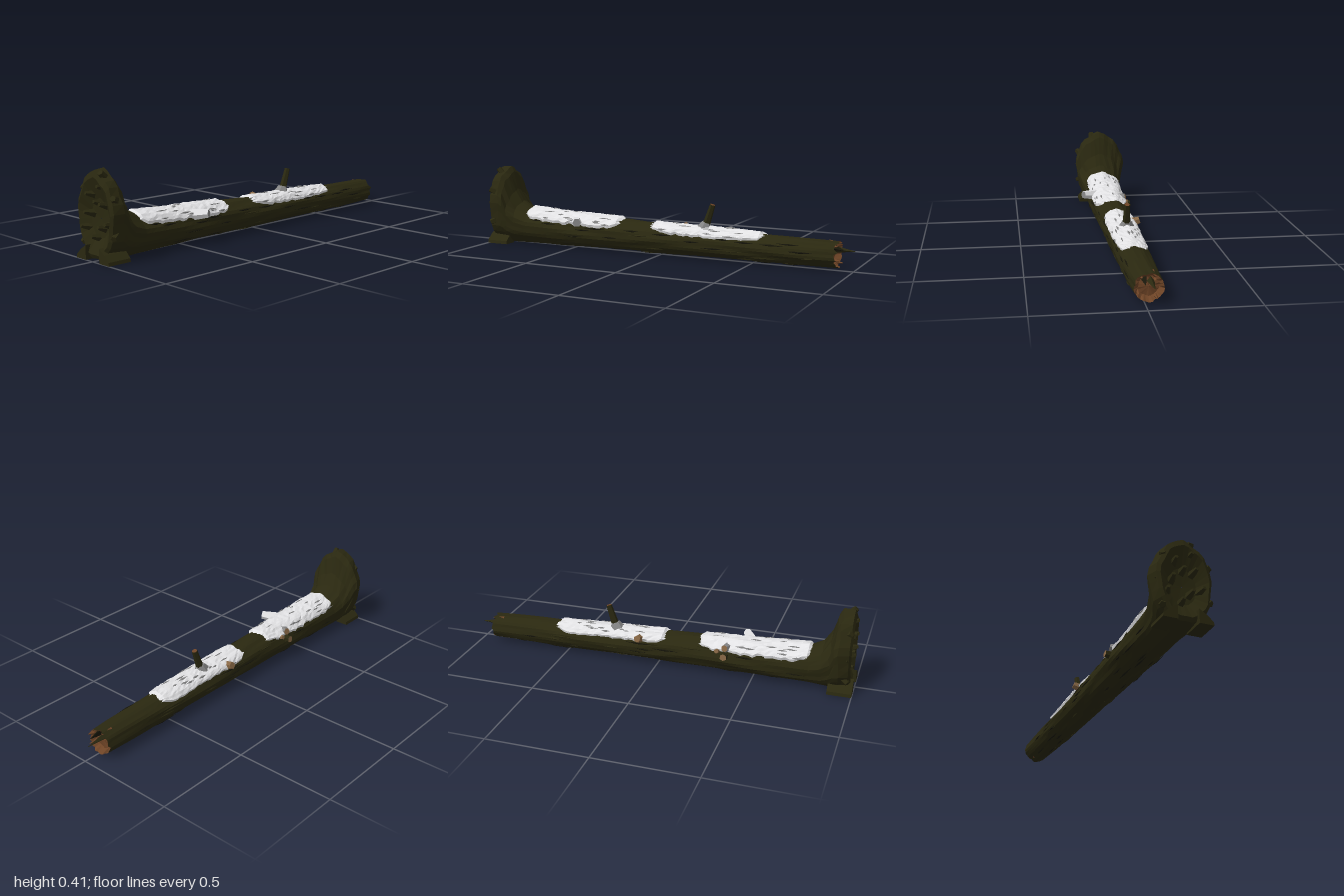
import * as THREE from 'three';

const mat = (name, color, extra = {}) => {
  const m = new THREE.MeshStandardMaterial({ color, flatShading: true, ...extra });
  m.name = name;
  return m;
};

// Cross-sections along the log: x, centre y, radius y, centre z, radius z
const SECTIONS = [
  [-0.945, 0.19, 0.002, 0, 0.002], [-0.95, 0.19, 0.09, 0, 0.065], [-0.985, 0.2, 0.175, 0, 0.115],
  [-0.975, 0.205, 0.2, 0, 0.13], [-0.925, 0.205, 0.203, -0.005, 0.141], [-0.905, 0.19, 0.19, -0.003, 0.135],
  [-0.88, 0.145, 0.143, 0, 0.122], [-0.84, 0.115, 0.112, 0, 0.112], [-0.78, 0.1, 0.094, 0, 0.103],
  [-0.5, 0.094, 0.086, 0, 0.097], [-0.2, 0.09, 0.079, 0, 0.09], [0.1, 0.085, 0.074, -0.004, 0.084],
  [0.5, 0.08, 0.068, -0.008, 0.078], [0.8, 0.077, 0.065, -0.013, 0.071], [0.925, 0.076, 0.063, -0.017, 0.066],
];
const BODY = 8; // first section of the plain trunk
const hash = (a, b) => {
  const s = Math.sin(a * 127.1 + b * 311.7) * 43758.5453;
  return s - Math.floor(s);
};

// Point on a section, with lengthwise bark ridges
function ringPoint([x, cy, ry, cz, rz], t, lift = 0) {
  const k = 1 + 0.025 * Math.sin(9 * t + 2.5 * Math.sin(x * 6)) + 0.02 * Math.sin(5 * t - x * 9);
  return new THREE.Vector3(x,
    Math.max(0.003, cy + (ry * k + lift) * Math.cos(t)),
    cz + (rz * k + lift) * Math.sin(t));
}

// Interpolated section at any x of the plain trunk
function sectionAt(x) {
  let i = BODY;
  while (i < SECTIONS.length - 2 && SECTIONS[i + 1][0] < x) i++;
  const a = SECTIONS[i], b = SECTIONS[i + 1];
  const f = (x - a[0]) / (b[0] - a[0]);
  return a.map((v, n) => v + (b[n] - v) * f);
}

// Grid surface: rows run along x, columns run around the log
function surface(name, rows, cols, point, material) {
  const pos = [], idx = [];
  for (let i = 0; i <= rows; i++)
    for (let j = 0; j <= cols; j++) pos.push(...point(i, j).toArray());
  for (let i = 0; i < rows; i++)
    for (let j = 0; j < cols; j++) {
      const a = i * (cols + 1) + j, c = a + cols + 1;
      idx.push(a, a + 1, c, a + 1, c + 1, c);
    }
  const g = new THREE.BufferGeometry();
  g.setAttribute('position', new THREE.Float32BufferAttribute(pos, 3));
  g.setIndex(idx);
  g.computeVertexNormals();
  const m = new THREE.Mesh(g, material);
  m.name = name;
  return m;
}

// Tapered stub between two points; the far end has its own colour
function stub(name, from, to, r0, r1, side, tip = side, sides = 6) {
  const a = new THREE.Vector3(...from), b = new THREE.Vector3(...to);
  const dir = b.clone().sub(a);
  const m = new THREE.Mesh(new THREE.CylinderGeometry(r1, r0, dir.length(), sides), [side, tip, side]);
  m.position.copy(a).add(b).multiplyScalar(0.5);
  m.quaternion.setFromUnitVectors(new THREE.Vector3(0, 1, 0), dir.normalize());
  m.name = name;
  return m;
}

// Slim lens lying along the trunk
function streak(name, x, t, length, width, lift, material) {
  const m = new THREE.Mesh(new THREE.OctahedronGeometry(1), material);
  m.scale.set(length, 0.004, width);
  m.position.copy(ringPoint(sectionAt(x), t, lift));
  m.rotation.set(t, 0, -0.02);
  m.name = name;
  return m;
}

export function createModel() {
  const bark = mat('bark', 0x2a2810);
  const darkBark = mat('dark bark', 0x17160a);
  const wood = mat('broken wood', 0x6e4426);
  const paleWood = mat('pale wood', 0x866644);
  const snow = mat('snow', 0xe2e2e4, { side: THREE.DoubleSide });
  const greySnow = mat('snow crevice', 0x858585);
  const log = new THREE.Group();
  log.name = 'fallenLog';

  // Trunk and root plate in one skin, with a torn right end
  const rows = SECTIONS.slice(0, BODY);
  for (let i = 0; i <= 44; i++) rows.push(sectionAt(-0.78 + 1.705 * i / 44));
  const COLS = 30;
  const angle = j => (j % COLS) / COLS * Math.PI * 2;
  const last = rows.length - 1;
  const skin = (i, j) => {
    const p = ringPoint(rows[i], angle(j));
    if (i > 3 && i < last) p.x += (hash(i, j % COLS) - 0.5) * 0.012;
    if (i === last) p.x += (hash(7, j % COLS) - 0.6) * 0.026;
    return p;
  };
  log.add(surface('trunk', last, COLS, skin, bark));

  // Hollowed broken end
  const core = new THREE.Vector3(0.9, 0.076, -0.017);
  log.add(surface('brokenEnd', 2, COLS, (i, j) => {
    const p = skin(last, j);
    if (i === 0) return p;
    if (i === 2) return core.clone();
    p.lerp(core, 0.3);
    p.x = 0.888 + 0.014 * hash(3, Math.floor((j % COLS) / 3));
    return p;
  }, wood));

  // Splinters
  log.add(stub('longSplinter', [0.88, 0.1, -0.025], [1, 0.094, -0.03], 0.02, 0.001, bark, bark, 4));
  log.add(stub('splinter', [0.88, 0.115, 0.0], [0.955, 0.1, 0.004], 0.022, 0.002, darkBark, darkBark, 3));
  [[0.13, -0.045, 0.93], [0.055, 0.03, 0.94], [0.03, -0.05, 0.935], [0.12, 0.015, 0.925]].forEach(([y, z, x]) =>
    log.add(stub('splinter', [0.87, y * 0.9 + 0.007, z * 0.9], [x, y, z], 0.016, 0.002, wood, wood, 4)));

  // Root stubs round the plate and on its back
  [[0.404, 0.04], [0.3, 0.126], [0.12, 0.125], [0.07, -0.108], [0.33, -0.1], [0.2, -0.125]].forEach(([y, z]) =>
    log.add(stub('rootStub', [-0.94, 0.2 + (y - 0.2) * 0.8, z * 0.8], [-0.975, y, z], 0.025, 0.014, bark, bark, 5)));
  for (let i = 0; i < 9; i++) {
    const a = i * 2.4, r = 0.35 + 0.06 * i;
    const y = 0.2 + 0.17 * r * Math.cos(a), z = 0.11 * r * Math.sin(a);
    log.add(stub('backRoot', [-0.94, y, z], [-0.985 - 0.014 * hash(i, 2), y + 0.012, z * 1.15],
      0.022, 0.009, bark, bark, 5));
  }

  // Roots spreading on the ground
  for (const s of [1, -1]) {
    const shape = new THREE.Shape([[0.05, 0.002], [0.12, 0.002], [0.117, 0.018], [0.088, 0.045], [0.05, 0.07]]
      .map(p => new THREE.Vector2(p[0] * s, p[1])));
    const g = new THREE.ExtrudeGeometry(shape, { depth: 0.12, bevelEnabled: false });
    const foot = new THREE.Mesh(g, bark);
    foot.rotation.y = -Math.PI / 2;
    foot.position.x = -0.88;
    foot.name = 'groundRoot';
    log.add(foot);
  }

  // Bark streaks
  for (let i = 0; i < 60; i++) {
    const t = 0.9 + hash(i, 1) * 4.5;
    log.add(streak('barkRidge', -0.75 + 1.58 * hash(i, 5), t, 0.03 + 0.05 * hash(i, 9), 0.005, 0.001,
      i % 3 ? darkBark : bark));
  }

  // Snow patches with ragged rims and grey crevices
  [[-0.79, -0.215, 1.13], [-0.045, 0.56, 1.08]].forEach(([x0, x1, spread], n) => {
    const R = 28, C = 16;
    log.add(surface('snowPatch', R, C, (i, j) => {
      const u = i / R, v = j / C * 2 - 1;
      const end = Math.abs(2 * u - 1);
      const t = v * spread * (1 - 0.4 * end ** 8) + (hash(i, n + 3) - 0.5) * 0.16 * Math.abs(v);
      const edge = i === 0 || i === R || j === 0 || j === C;
      const rag = (i === 0 || i === R) ? (hash(j, n + i) - 0.5) * 0.022 : 0;
      const x = Math.max(x0 + (x1 - x0) * u + rag, -0.785);
      return ringPoint(sectionAt(x), t, edge ? -0.003 : 0.008 + 0.005 * hash(i + n * 40, j));
    }, snow));
    for (let i = 0; i < 22; i++) {
      const x = x0 + (x1 - x0) * (0.08 + 0.84 * hash(i, 11 + n));
      log.add(streak('snowCrevice', x, (hash(i, 21 + n) * 2 - 1) * spread * 0.9,
        0.018 + 0.024 * hash(i, 31), 0.004 + 0.003 * hash(i, 8), 0.011, greySnow));
    }
  });

  // Branch and snapped-off stubs
  log.add(stub('branch', [0.232, 0.14, -0.012], [0.277, 0.275, -0.01], 0.021, 0.014, bark, wood));
  log.add(stub('branchCollar', [0.23, 0.145, -0.012], [0.242, 0.184, -0.012], 0.045, 0.022, greySnow, greySnow));
  log.add(stub('snowyStub', [-0.47, 0.145, 0.06], [-0.425, 0.156, 0.137], 0.03, 0.021, snow, greySnow));
  log.add(stub('snowyKnot', [-0.37, 0.145, -0.05], [-0.36, 0.155, -0.088], 0.03, 0.018, greySnow, paleWood));
  log.add(stub('brokenStub', [-0.36, 0.11, -0.06], [-0.36, 0.117, -0.113], 0.026, 0.018, bark, paleWood));
  log.add(stub('brokenStub', [-0.325, 0.13, -0.06], [-0.32, 0.138, -0.096], 0.016, 0.011, paleWood));
  log.add(stub('brokenStub', [0.09, 0.13, -0.05], [0.095, 0.146, -0.098], 0.026, 0.018, paleWood));
  return log;
}
